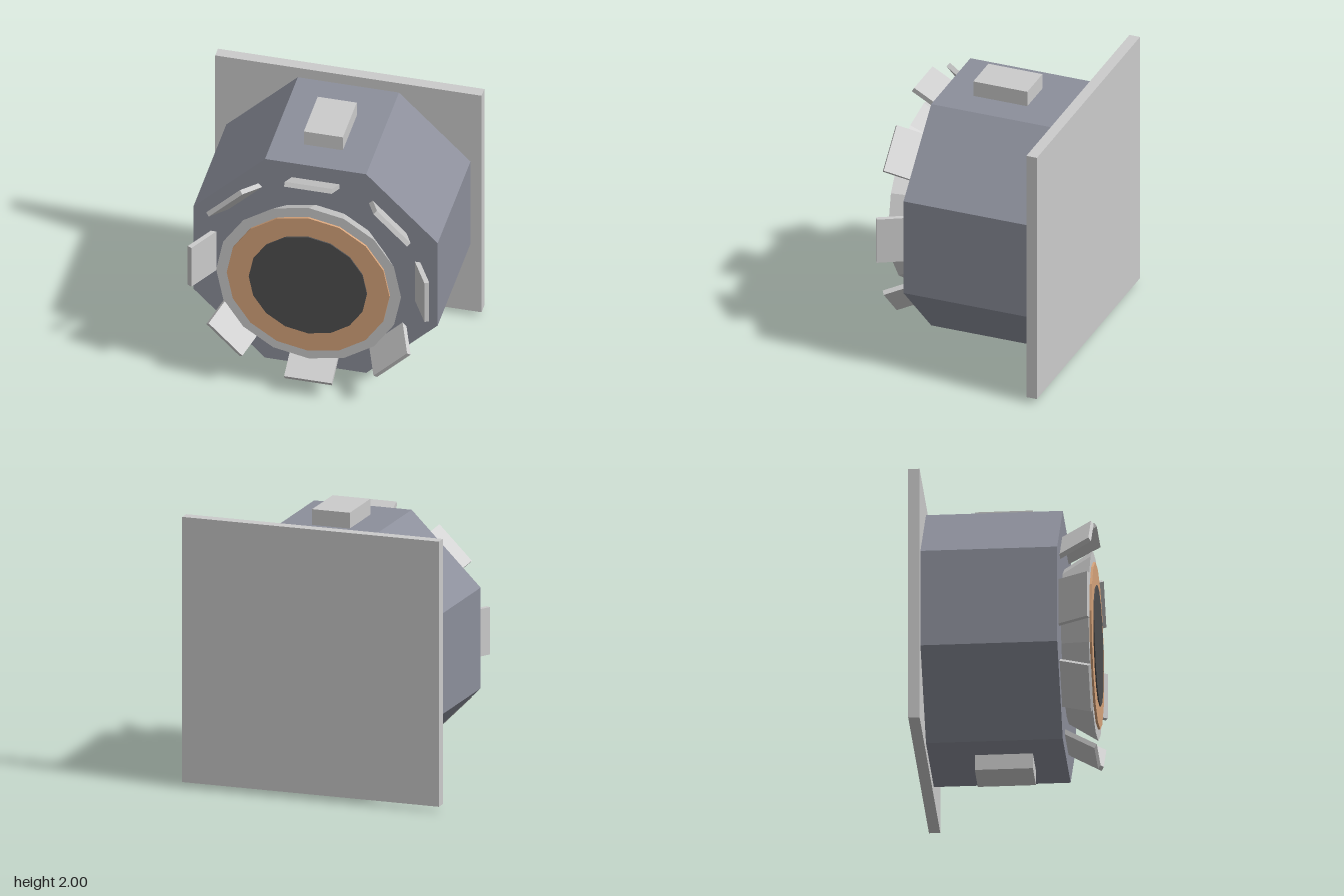
import * as THREE from 'three';

const paint = (color) => new THREE.MeshStandardMaterial({ color, flatShading: true });

export function createModel() {
  const model = new THREE.Group();
  const grey = paint(0xcccccc);
  const slate = paint(0x8c8f9b);
  const copper = paint(0xd8a57c);
  const dark = paint(0x4f4f50);

  const add = (name, geometry, material, y = 1, z = 0, parent = model) => {
    const mesh = new THREE.Mesh(geometry, material);
    mesh.name = name;
    mesh.position.set(0, y, z);
    parent.add(mesh);
    return mesh;
  };

  // Faceted drum lying along z, from zBack to zFront
  const drum = (name, rFront, rBack, zBack, zFront, sides, material, turn = 0) => {
    const geometry = new THREE.CylinderGeometry(rFront, rBack, zFront - zBack, sides, 1, false, turn);
    geometry.rotateX(Math.PI / 2);
    return add(name, geometry, material, 1, (zFront + zBack) / 2);
  };

  // Square mounting plate and octagonal housing
  add('backPlate', new THREE.BoxGeometry(1.93, 1.93, 0.08), grey, 1.0025, -0.597);
  const bodyRadius = 0.885 / Math.cos(Math.PI / 8);
  drum('housing', bodyRadius, bodyRadius, -0.557, 0.408, 8, slate, Math.PI / 8);

  // Blocks on the top and bottom faces
  for (const side of [1, -1]) {
    add(side > 0 ? 'topBlock' : 'bottomBlock', new THREE.BoxGeometry(0.283, 0.14, 0.41), grey, 1 + side * 0.93, -0.025);
  }

  // Flared nozzle with its ring and central disc
  drum('nozzle', 0.67, 0.54, 0.4, 0.612, 16, grey);
  drum('ring', 0.59, 0.59, 0.6, 0.628, 16, copper);
  drum('centreDisc', 0.428, 0.428, 0.61, 0.637, 16, dark);

  // Eight outward-tilted flaps around the nozzle
  const tilt = 0.506;
  const flapGeometry = new THREE.BoxGeometry(0.345, 0.035, 0.3);
  for (let i = 0; i < 8; i++) {
    const arm = new THREE.Group();
    arm.name = 'flapArm' + (i + 1);
    arm.position.y = 1;
    arm.rotation.z = (i * Math.PI) / 4;
    const flap = add('flap', flapGeometry, grey, 0.787, 0.494, arm);
    flap.rotation.x = -tilt;
    model.add(arm);
  }
  return model;
}
